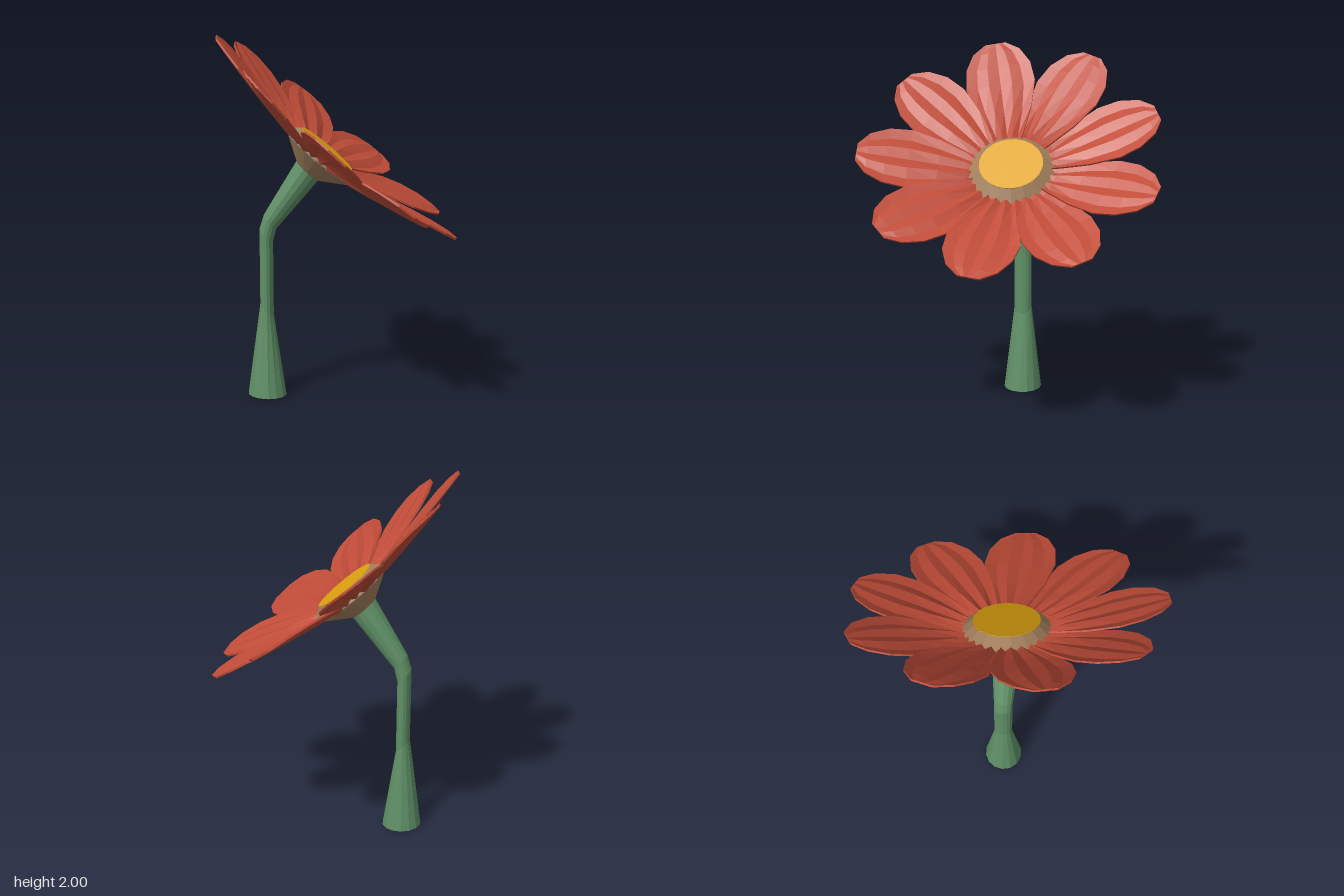
import * as THREE from 'three';

const material = (name, color) => {
  const m = new THREE.MeshStandardMaterial({ color });
  m.name = name;
  return m;
};

const flatten = (geo) => {
  const flat = geo.toNonIndexed();
  flat.computeVertexNormals();
  return flat;
};

// Faceted skin over a list of closed rings, with optional end caps
function loft(rings, capped) {
  const n = rings[0].length, index = [];
  for (let i = 0; i < rings.length - 1; i++) {
    for (let j = 0; j < n; j++) {
      const k = (j + 1) % n;
      const a = i * n + j, b = i * n + k, c = a + n, d = b + n;
      index.push(a, c, b, b, c, d);
    }
  }
  if (capped) {
    const e = (rings.length - 1) * n;
    for (let j = 1; j < n - 1; j++) {
      index.push(0, j, j + 1, e, e + j + 1, e + j);
    }
  }
  const geo = new THREE.BufferGeometry().setFromPoints(rings.flat());
  geo.setIndex(index);
  return flatten(geo);
}

// Tilted circular cross-section of the stem
const STEM_SIDES = 14;
function stemRing([x, y, r, tilt]) {
  return Array.from({ length: STEM_SIDES }, (_, j) => {
    const a = j / STEM_SIDES * Math.PI * 2, c = Math.cos(a) * r;
    return new THREE.Vector3(x + c * Math.cos(tilt), y + c * Math.sin(tilt), r * Math.sin(a));
  });
}

// Thin pleated petal along +x, rising gently towards its rounded tip
function petalGeometry() {
  // distance from centre, height, half width, pleat depth
  const sections = [
    [0.17, 0.002, 0.06, 0.009], [0.25, 0.017, 0.095, 0.009], [0.40, 0.053, 0.157, 0.008],
    [0.56, 0.092, 0.197, 0.007], [0.68, 0.120, 0.185, 0.006], [0.78, 0.141, 0.135, 0.004],
    [0.84, 0.151, 0.058, 0.001],
  ];
  const columns = 7, thickness = 0.01;
  const rings = sections.map(([x, y, w, pleat]) => {
    const top = [], bottom = [];
    for (let j = 0; j < columns; j++) {
      const t = 1 - 2 * j / (columns - 1);
      const h = y + (j % 2 ? -pleat : pleat) + t * w * 0.04;
      top.push(new THREE.Vector3(x, h, t * w));
      bottom.unshift(new THREE.Vector3(x, h - thickness, t * w));
    }
    return [...top, ...bottom];
  });
  return loft(rings, true);
}

export function createModel() {
  const red = material('petal red', 0xc04c38);
  const green = material('stem green', 0x5f9066);
  const brown = material('seed brown', 0xa5815d);
  const yellow = material('pollen yellow', 0xdfa30f);
  const grey = material('cut grey', 0x707072);

  const model = new THREE.Group();
  model.name = 'flower';
  const add = (parent, name, geo, mat) => {
    const mesh = new THREE.Mesh(geo, mat);
    mesh.name = name;
    parent.add(mesh);
    return mesh;
  };

  // Stem: flared foot, thin shaft, bent neck
  const path = [
    [-0.397, 0.008, 0.108, -0.04], [-0.395, 0.495, 0.051, -0.75], [-0.395, 0.915, 0.051, -0.75],
    [-0.373, 0.99, 0.052, -0.85], [-0.158, 1.285, 0.08, -0.698],
  ];
  add(model, 'stem', loft(path.map(stemRing), false), green);
  const base = add(model, 'stemBase', new THREE.CircleGeometry(0.108, STEM_SIDES).rotateX(Math.PI / 2), grey);
  base.position.set(-0.397, 0.008, 0);
  base.rotation.z = -0.04;

  // Flower head, tipped forward and leaning slightly to one side
  const head = new THREE.Group();
  head.name = 'flowerHead';
  head.position.set(-0.093, 1.352, -0.004);
  head.rotation.set(-0.07, 0, -40 * Math.PI / 180, 'ZYX');
  model.add(head);

  // Cup joining the stem to the petals, with its thin rim
  const calyx = add(head, 'calyx', flatten(new THREE.CylinderGeometry(0.235, 0.08, 0.1, 18)), brown);
  calyx.position.y = -0.054;
  const rim = add(head, 'calyxRim', flatten(new THREE.CylinderGeometry(0.239, 0.239, 0.007, 18)), grey);
  rim.position.y = -0.003;

  // Seed mound with a yellow disc on top
  const mound = add(head, 'seedRing', flatten(new THREE.CylinderGeometry(0.178, 0.245, 0.055, 18)), brown);
  mound.position.y = 0.0275;
  const disc = add(head, 'pollenDisc', flatten(new THREE.CylinderGeometry(0.176, 0.176, 0.006, 24)), yellow);
  disc.position.y = 0.055;

  // Nine petals
  const petal = petalGeometry();
  for (let i = 0; i < 9; i++) {
    add(head, 'petal' + (i + 1), petal, red).rotation.y = -(4 + i * 40) * Math.PI / 180;
  }
  return model;
}
